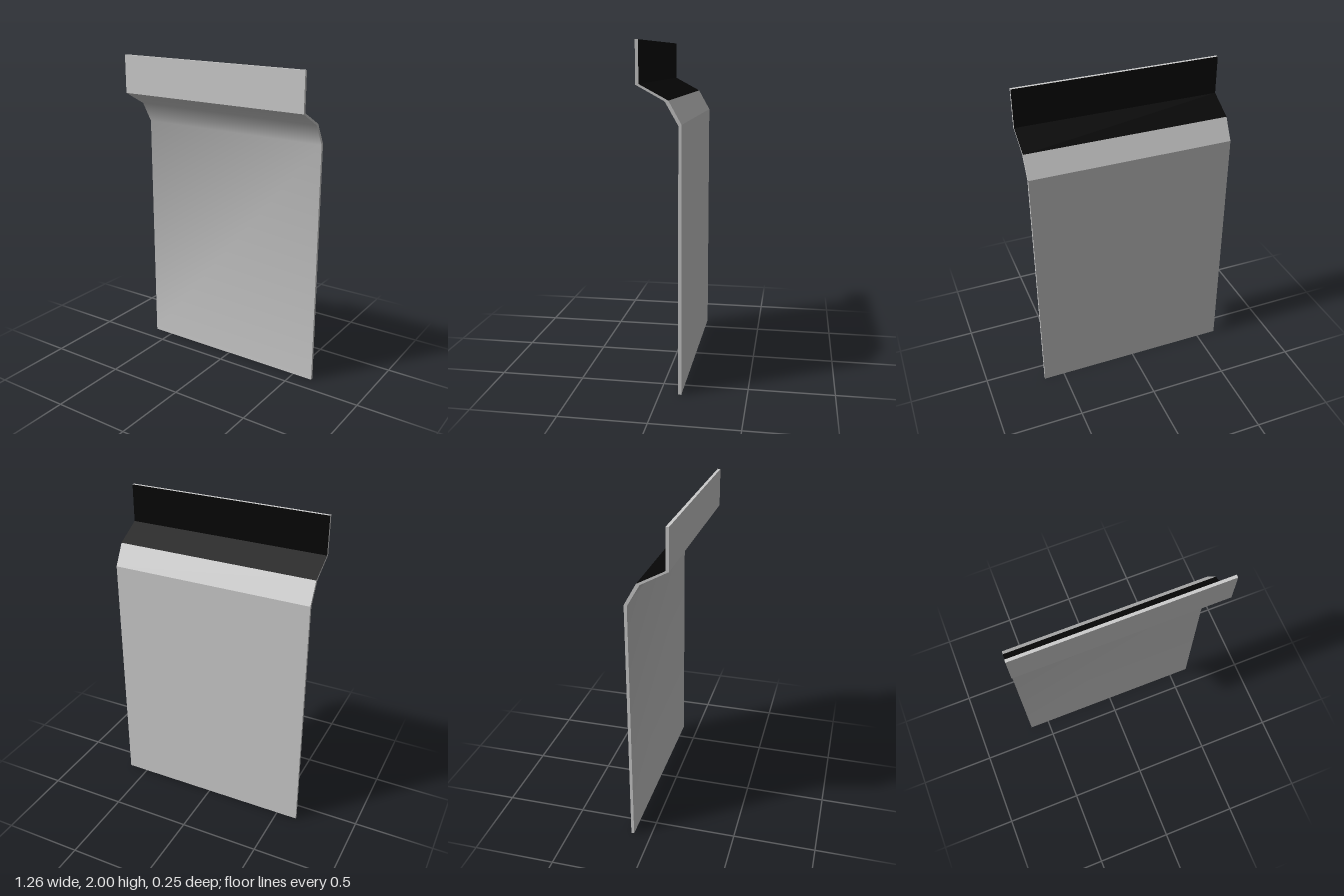
import * as THREE from 'three';
import { toCreasedNormals } from 'three/addons/utils/BufferGeometryUtils.js';

const HALF_WIDTH = 0.632;

// Cross-section as [z, y], from the foot up to the lip
const front = [[-0.107, 0], [-0.107, 1.545], [-0.033, 1.674], [0.127, 1.762], [0.127, 2]];
const back = [[-0.125, 0], [-0.125, 1.55], [-0.053, 1.679], [0.109, 1.766], [0.109, 2]];

// Geometry from a list of four-cornered faces
function quads(list) {
  const pos = [];
  for (const [a, b, c, d] of list) pos.push(...a, ...b, ...c, ...a, ...c, ...d);
  const geo = new THREE.BufferGeometry();
  geo.setAttribute('position', new THREE.Float32BufferAttribute(pos, 3));
  geo.computeVertexNormals();
  return geo;
}

// Sheet swept across the full width along a run of section points
function sweep(points) {
  const at = (side, [z, y]) => [side * HALF_WIDTH, y, z];
  return quads(points.slice(1).map((q, i) => {
    const p = points[i];
    return [at(-1, p), at(1, p), at(1, q), at(-1, q)];
  }));
}

// Narrow edge closing the section on one side
function sideEdge(side) {
  const at = ([z, y]) => [side * HALF_WIDTH, y, z];
  return quads(front.slice(1).map((f, i) => {
    const face = [at(front[i]), at(back[i]), at(back[i + 1]), at(f)];
    return side > 0 ? face : face.reverse();
  }));
}

export function createModel() {
  const group = new THREE.Group();
  const grey = new THREE.MeshStandardMaterial({ color: 0xcccccc });
  const black = new THREE.MeshStandardMaterial({ color: 0x060606 });
  const add = (name, geo, mat = grey) => {
    const mesh = new THREE.Mesh(geo, mat);
    mesh.name = name;
    group.add(mesh);
  };

  // Front skin: soft bends below, sharp fold at the lip
  add('frontFace', toCreasedNormals(sweep(front), 0.7));

  // Back skin: grey panel and bend, black shoulder and lip
  const down = [...back].reverse();
  add('backPanel', sweep(down.slice(2)));
  add('backLip', sweep(down.slice(0, 3)), black);

  // Thin edges all round
  add('topEdge', sweep([front[4], back[4]]));
  add('bottomEdge', sweep([back[0], front[0]]));
  add('leftEdge', sideEdge(1));
  add('rightEdge', sideEdge(-1));
  return group;
}
